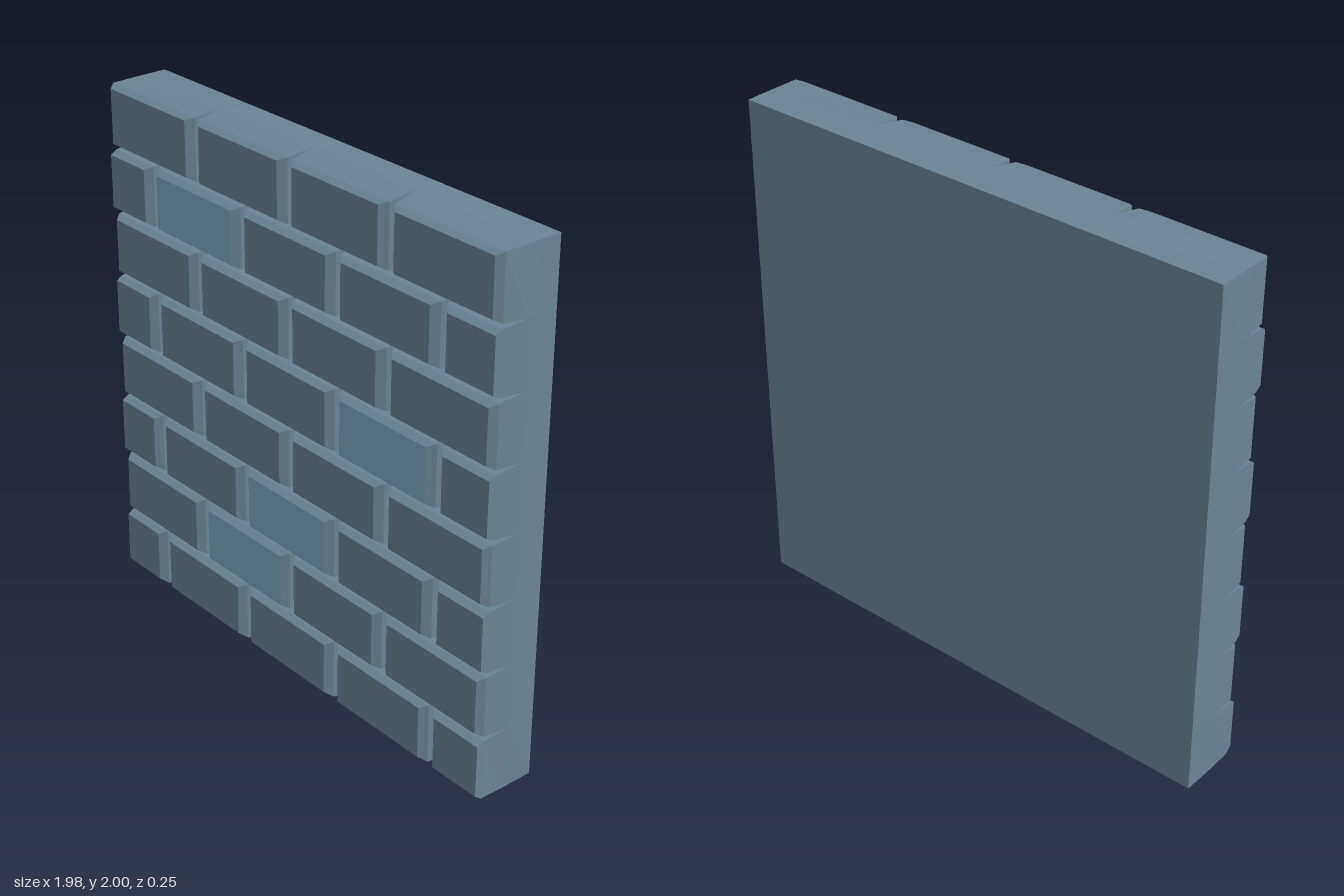
import * as THREE from 'three';

const W = 0.99, H = 2, BACK = -0.125, FRONT = 0.125, SHOULDER = 0.1;
const courseY = [0, 0.26, 0.51, 0.76, 1.005, 1.255, 1.5, 1.745, H];
const alignedX = [-W, -0.495, 0, 0.492, W];
const offsetX = [-W, -0.745, -0.25, 0.242, 0.735, W];

// The four corners of the wall are pulled in slightly, so its edges bulge
function corner(x, y) {
  const isCorner = Math.abs(x) === W && (y === 0 || y === H);
  return isCorner ? [Math.sign(x) * 0.985, y === 0 ? 0.015 : H - 0.015] : [x, y];
}

const loop3 = (loop, z) => loop.map(([x, y]) => new THREE.Vector3(x, y, z));

// Walls between counter-clockwise loops, listed from back to front
function bridge(out, loops) {
  for (let k = 0; k + 1 < loops.length; k++) {
    const p = loops[k], q = loops[k + 1], n = p.length;
    for (let i = 0; i < n; i++) {
      const j = (i + 1) % n;
      out.push(p[i], p[j], q[j], p[i], q[j], q[i]);
    }
  }
}

function toGeometry(points) {
  const geometry = new THREE.BufferGeometry().setFromPoints(points);
  geometry.computeVertexNormals();
  return geometry;
}

// Bevelled brick: joint bottom, shoulder, front face (face is group 1)
function brickGeometry(x0, x1, y0, y1, aligned) {
  const base = [[x0, y0], [x1, y0], [x1, y1], [x0, y1]].map(([x, y]) => corner(x, y));
  const ring = (gapX, gapY, sideGap, topGap, bottomGap) => {
    const l = x0 + (x0 === -W ? sideGap : gapX);
    const r = x1 - (x1 === W ? sideGap : gapX);
    const b = y0 + (y0 === 0 ? bottomGap : gapY);
    const t = y1 - (y1 === H ? topGap : gapY);
    return [[l, b], [r, b], [r, t], [l, t]];
  };
  const shoulder = loop3(ring(0.013, 0.009, 0.006, 0.016, 0.018), SHOULDER);
  const face = loop3(ring(0.038, 0.023, aligned ? 0.025 : 0.008, 0.028, 0.036), FRONT);
  const points = [];
  bridge(points, [loop3(base, 0), shoulder, face]);
  const sideCount = points.length;
  points.push(face[0], face[1], face[2], face[0], face[2], face[3]);
  const geometry = toGeometry(points);
  geometry.addGroup(0, sideCount, 0);
  geometry.addGroup(sideCount, 6, 1);
  return geometry;
}

// Solid slab behind the bricks, following the outline of the courses
function slabGeometry() {
  const outline = [
    ...offsetX.map((x) => [x, 0]),
    ...courseY.slice(1, -1).map((y) => [W, y]),
    ...[...alignedX].reverse().map((x) => [x, H]),
    ...courseY.slice(1, -1).reverse().map((y) => [-W, y]),
  ];
  const front = loop3(outline.map(([x, y]) => corner(x, y)), 0);
  const back = loop3(outline.map(([x, y]) => [
    THREE.MathUtils.clamp(x, -0.985, 0.985),
    THREE.MathUtils.clamp(y, 0.015, H - 0.015),
  ]), BACK);
  const points = [];
  bridge(points, [back, front]);
  const centre = new THREE.Vector3(0, 1, BACK);
  back.forEach((p, i) => points.push(centre, back[(i + 1) % back.length], p));
  return toGeometry(points);
}

export function createModel() {
  const stone = new THREE.MeshStandardMaterial({ color: 0x6d8493 });
  stone.name = 'blue grey stone';
  const pale = new THREE.MeshStandardMaterial({ color: 0x82abc0 });
  pale.name = 'pale blue stone';

  const wall = new THREE.Group();
  wall.name = 'brickWall';
  const slab = new THREE.Mesh(slabGeometry(), stone);
  slab.name = 'slab';
  wall.add(slab);

  // Courses alternate between offset and aligned joints
  const paleBricks = new Set(['1:1', '2:2', '4:3', '6:1']);
  for (let row = 0; row < courseY.length - 1; row++) {
    const aligned = row % 2 === 1;
    const xs = aligned ? alignedX : offsetX;
    const course = new THREE.Group();
    course.name = `course${row + 1}`;
    for (let i = 0; i < xs.length - 1; i++) {
      const geometry = brickGeometry(xs[i], xs[i + 1], courseY[row], courseY[row + 1], aligned);
      const isPale = paleBricks.has(`${row}:${i}`);
      const brick = new THREE.Mesh(geometry, isPale ? [stone, pale] : stone);
      brick.name = isPale ? 'paleBrick' : 'brick';
      course.add(brick);
    }
    wall.add(course);
  }
  return wall;
}
